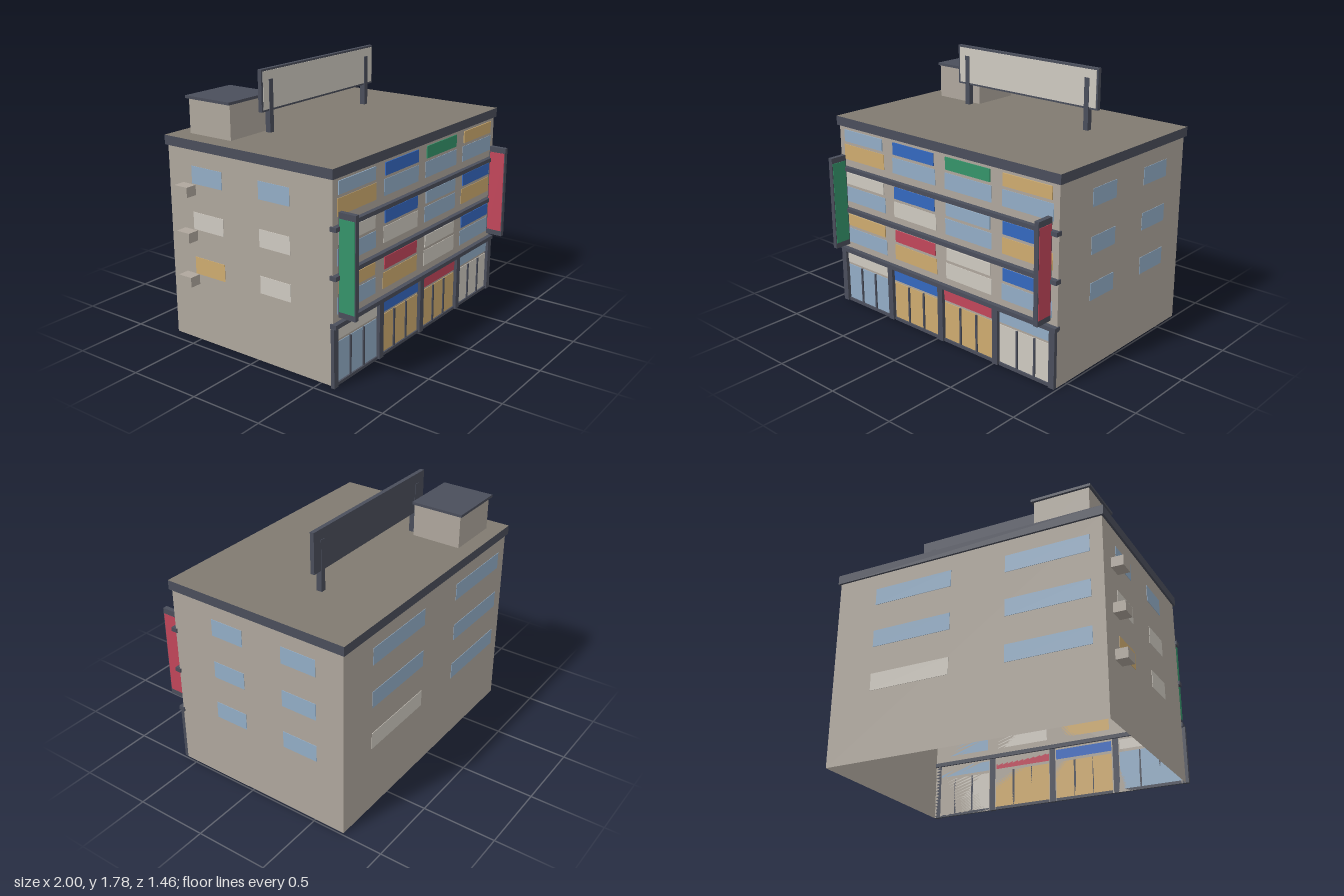
import * as THREE from 'three';

const mat = (name, color) => Object.assign(new THREE.MeshStandardMaterial({ color }), { name });

export function createModel() {
  const wall = mat('wall', 0xafa79d);
  const roof = mat('roof', 0x807a70);
  const trim = mat('darkTrim', 0x4a4e5b);
  const glass = mat('paleBlue', 0x93adc6);
  const tan = mat('tan', 0xcfac70);
  const cream = mat('cream', 0xcfcac1);
  const blue = mat('blue', 0x3468c0);
  const red = mat('red', 0xc2465a);
  const green = mat('green', 0x35946a);
  wall.side = THREE.DoubleSide;

  const model = new THREE.Group();
  model.name = 'shopBuilding';

  // Box given by its extents along each axis
  const box = (name, material, [x0, x1], [y0, y1], [z0, z1], parent = model) => {
    const mesh = new THREE.Mesh(new THREE.BoxGeometry(x1 - x0, y1 - y0, z1 - z0), material);
    mesh.position.set((x0 + x1) / 2, (y0 + y1) / 2, (z0 + z1) / 2);
    mesh.name = name;
    parent.add(mesh);
    return mesh;
  };
  const group = (name) => {
    const g = new THREE.Group();
    g.name = name;
    model.add(g);
    return g;
  };

  const L = -0.92, R = 0.985, F = 0.588, B = -0.715;

  // Hollow walls, open at the bottom
  const walls = box('walls', wall, [L, R], [0, 1.31], [B, F]);
  const index = Array.from(walls.geometry.index.array);
  walls.geometry.setIndex([...index.slice(0, 12), ...index.slice(24)]);
  walls.geometry.clearGroups();

  // Roof slab: dark edge, roof coloured top
  box('roofSlab', [trim, trim, roof, trim, trim, trim], [-0.935, 1], [1.3, 1.363], [-0.73, 0.602]);

  // Floor bands across the front
  for (const y of [0.397, 0.702, 1.003])
    box('floorBand', trim, [-0.932, 0.993], [y - 0.014, y + 0.014], [0.575, 0.62]);

  // Ground floor pillars
  for (const x of [-0.92, -0.443, 0.033, 0.51, 0.963])
    box('pillar', trim, [x - 0.022, x + 0.022], [0, 0.385], [F, 0.613]);

  // Shopfronts: glazing, two mullions, kick strip and sign per bay
  const shops = group('shopfronts');
  const bays = [
    [-0.893, -0.47, glass, cream], [-0.413, 0.006, tan, blue],
    [0.059, 0.482, tan, red], [0.538, 0.94, cream, glass],
  ];
  bays.forEach(([x0, x1, pane, sign], i) => {
    box('shopWindow', pane, [x0, x1], [0.02, 0.28], [F, F + 0.004], shops);
    box('kickStrip', trim, [x0, x1], [0, 0.02], [F, 0.603], shops);
    box('shopSign', sign, [x0, x1 - 0.003], [0.3, 0.37], [F, F + 0.009], shops);
    const m = -0.754 + i * 0.4775;
    for (const x of [m, m + 0.14])
      box('mullion', trim, [x - 0.007, x + 0.007], [0.02, 0.28], [F, 0.6], shops);
  });

  // Upper floors: a window with a sign board above it in each bay
  const front = group('upperFront');
  const signs = [[tan, red, cream, blue], [cream, blue, glass, blue], [glass, blue, green, tan]];
  const panes = [[glass, tan, cream, glass], [glass, cream, glass, tan], [tan, glass, glass, glass]];
  for (let f = 0; f < 3; f++) {
    for (let i = 0; i < 4; i++) {
      const c = -0.682 + i * 0.4763, y = f * 0.305;
      box('window', panes[f][i], [c - 0.196, c + 0.196], [y + 0.456, y + 0.563], [F, F + 0.003], front);
      box('signBoard', signs[f][i], [c - 0.186, c + 0.186], [y + 0.585, y + 0.667], [F, F + 0.007], front);
    }
  }

  // Side and back windows, rows from the bottom up
  const others = group('sideAndBackWindows');
  const sideSpans = [[-0.517, -0.263], [0.033, 0.273]];
  const leftColours = [[tan, cream, glass], [cream, cream, glass]];
  const backSpans = [[-0.835, -0.267], [0.12, 0.69]];
  const backColours = [[glass, glass, glass], [cream, glass, glass]];
  for (let f = 0; f < 3; f++) {
    const y = [0.466 + f * 0.305, 0.582 + f * 0.305];
    for (let i = 0; i < 2; i++) {
      box('rightWindow', glass, [R, R + 0.003], y, sideSpans[i], others);
      box('leftWindow', leftColours[i][f], [L - 0.003, L], y, sideSpans[i], others);
      box('backWindow', backColours[i][f], backSpans[i], y, [B - 0.003, B], others);
    }
  }

  // Air conditioning units on the side wall
  for (const y of [0.397, 0.698, 1.003])
    box('airConditioner', wall, [-1, L], [y, y + 0.067], [-0.597, -0.49]);

  // Projecting blade signs: dark case with a coloured panel on both faces
  for (const [x, colour] of [[-0.872, green], [0.93, red]]) {
    const blade = group('bladeSign');
    box('signCase', trim, [x - 0.016, x + 0.016], [0.447, 1.1], [0.606, 0.728], blade);
    box('signPanel', colour, [x - 0.019, x + 0.019], [0.485, 1.062], [0.612, 0.722], blade);
  }

  // Rooftop stair house
  box('stairHouse', wall, [-0.807, -0.427], [1.36, 1.592], [-0.626, -0.28]);
  box('stairHouseLid', trim, [-0.823, -0.41], [1.59, 1.608], [-0.643, -0.272]);

  // Rooftop billboard on two posts
  const board = group('billboard');
  box('billboardFrame', trim, [-0.572, 0.638], [1.505, 1.777], [-0.254, -0.226], board);
  box('billboardFace', cream, [-0.557, 0.625], [1.518, 1.764], [-0.227, -0.223], board);
  for (const x of [-0.485, 0.553])
    box('billboardPost', trim, [x - 0.018, x + 0.018], [1.36, 1.708], [-0.257, -0.219], board);

  return model;
}
